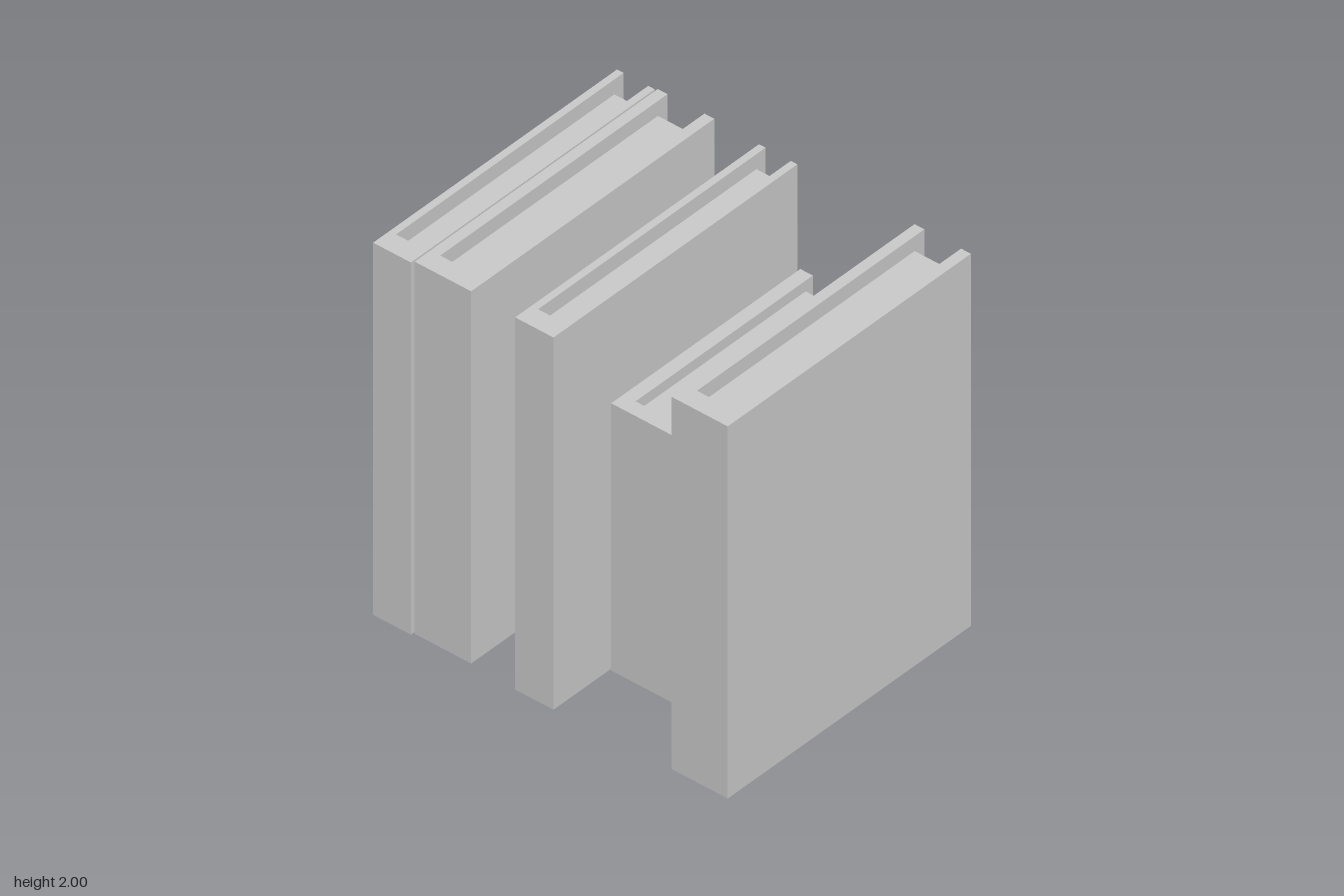
import * as THREE from 'three';

// x0, x1: outer width; cover: board thickness; height; back, front: z extent; spine: spine thickness; inset: page setback
const books = [
  { x0: -0.99, x1: -0.778, cover: 0.037, height: 2, back: -0.79, front: 0.8, spine: 0.107, inset: 0.06 },
  { x0: -0.77, x1: -0.453, cover: 0.055, height: 2, back: -0.8, front: 0.785, spine: 0.103, inset: 0.063 },
  { x0: -0.446, x1: -0.2, cover: 0.043, height: 1.557, back: -0.8, front: 0.433, spine: 0.078, inset: 0.047 },
  { x0: -0.193, x1: 0.022, cover: 0.037, height: 2, back: -0.79, front: 0.8, spine: 0.107, inset: 0.06 },
  { x0: 0.03, x1: 0.411, cover: 0.07, height: 1.436, back: -0.8, front: 0.433, spine: 0.078, inset: 0.047 },
  { x0: 0.415, x1: 0.663, cover: 0.046, height: 1.557, back: -0.8, front: 0.433, spine: 0.078, inset: 0.047 },
  { x0: 0.671, x1: 0.987, cover: 0.055, height: 2, back: -0.8, front: 0.785, spine: 0.103, inset: 0.063 },
];

const material = new THREE.MeshStandardMaterial({ color: 0xcccccc });

function createBook({ x0, x1, cover, height, back, front, spine, inset }) {
  const book = new THREE.Group();
  const inner0 = x0 + cover, inner1 = x1 - cover, innerFront = front - spine;

  // U-shaped cover: two boards joined by the spine, open at the back (shape y = -z)
  const outline = [
    [x0, -front], [x1, -front], [x1, -back], [inner1, -back],
    [inner1, -innerFront], [inner0, -innerFront], [inner0, -back], [x0, -back],
  ].map(([x, y]) => new THREE.Vector2(x, y));
  const coverGeometry = new THREE.ExtrudeGeometry(new THREE.Shape(outline), { depth: height, bevelEnabled: false });
  coverGeometry.rotateX(-Math.PI / 2);
  const coverMesh = new THREE.Mesh(coverGeometry, material);
  coverMesh.name = 'cover';

  // Page block, set back at the top, bottom and fore edge
  const depth = innerFront - back - inset;
  const pages = new THREE.Mesh(new THREE.BoxGeometry(inner1 - inner0, height * 0.92, depth), material);
  pages.position.set((inner0 + inner1) / 2, height / 2, innerFront - depth / 2);
  pages.name = 'pages';

  book.add(coverMesh, pages);
  return book;
}

export function createModel() {
  const model = new THREE.Group();
  model.name = 'bookRow';
  books.forEach((spec, i) => {
    const book = createBook(spec);
    book.name = `book${i + 1}`;
    model.add(book);
  });
  return model;
}
